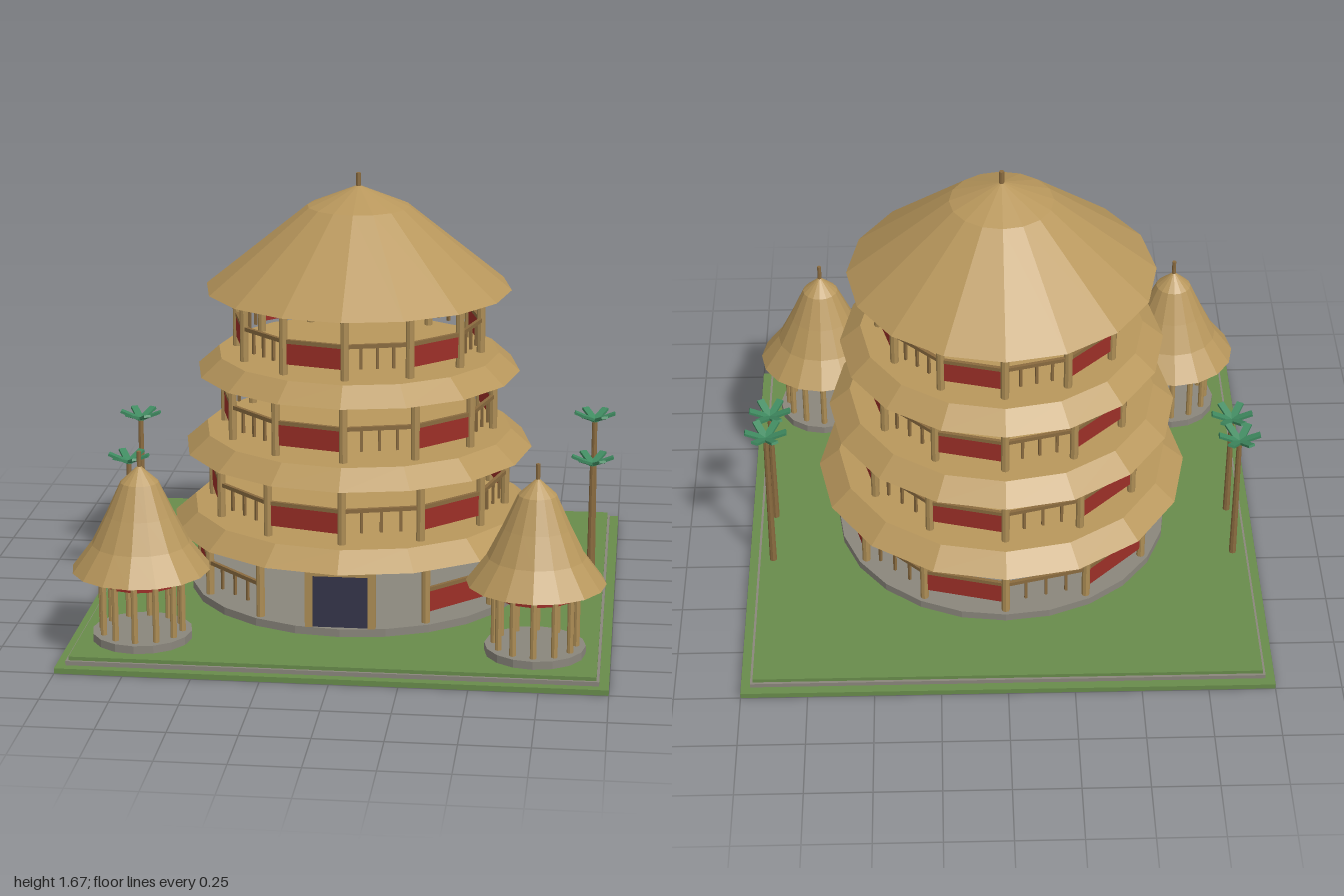
import * as THREE from 'three';

const mat = (name, color) => {
  const m = new THREE.MeshStandardMaterial({ color });
  m.name = name;
  return m;
};
const thatch = mat('thatch', 0xb8975c);
const wood = mat('bamboo wood', 0xad8d55);
const darkWood = mat('rail wood', 0x8a6b3f);
const grass = mat('grass', 0x688c4b);
const stone = mat('stone', 0x8a867c);
const red = mat('red panel', 0x9c2f27);
const doorBlue = mat('door slate', 0x35354a);
const frond = mat('palm leaf', 0x3f8a60);

// Faceted normals for the low-poly look
function faceted(geometry) {
  const g = geometry.index ? geometry.toNonIndexed() : geometry;
  g.computeVertexNormals();
  return g;
}

function add(parent, name, geometry, material, x = 0, y = 0, z = 0) {
  const m = new THREE.Mesh(geometry, material);
  m.name = name;
  m.position.set(x, y, z);
  parent.add(m);
  return m;
}

const box = (parent, name, w, h, d, material, x, y, z) =>
  add(parent, name, new THREE.BoxGeometry(w, h, d), material, x, y, z);

// Upright cylinder or frustum standing from y0 to y1
function post(parent, name, r0, r1, y0, y1, sides, material, x = 0, z = 0) {
  const g = faceted(new THREE.CylinderGeometry(r1, r0, y1 - y0, sides));
  return add(parent, name, g, material, x, (y0 + y1) / 2, z);
}

function roof(parent, name, profile, sides) {
  const pts = profile.map(([r, y]) => new THREE.Vector2(r, y));
  return add(parent, name, faceted(new THREE.LatheGeometry(pts, sides)), thatch);
}

// Empty group sitting in the middle of a bay, facing outward
function bayGroup(parent, name, i, count, radius) {
  const a = ((i + 0.5) / count) * Math.PI * 2;
  const apothem = radius * Math.cos(Math.PI / count);
  const g = new THREE.Group();
  g.name = name;
  g.position.set(Math.sin(a) * apothem, 0, Math.cos(a) * apothem);
  g.rotation.y = a;
  parent.add(g);
  return g;
}

// One open storey: columns, rails, red panels alternating with balusters
function storey(parent, name, radius, floorY, topY, hasDoor) {
  const g = new THREE.Group();
  g.name = name;
  parent.add(g);
  const count = 12;
  const chord = 2 * radius * Math.sin(Math.PI / count);
  for (let i = 0; i < count; i++) {
    const a = (i / count) * Math.PI * 2;
    if (!(hasDoor && i === 0)) {
      post(g, 'column', 0.016, 0.016, floorY, topY, 8, wood, Math.sin(a) * radius, Math.cos(a) * radius);
    }
    if (hasDoor && (i === 0 || i === count - 1)) continue;
    const bay = bayGroup(g, 'railing', i, count, radius);
    box(bay, 'rail', chord, 0.015, 0.014, darkWood, 0, floorY + 0.127, 0);
    if (i % 2) {
      box(bay, 'panel', chord - 0.01, 0.08, 0.01, red, 0, floorY + 0.08, 0);
    } else {
      for (const t of [-0.25, 0, 0.25]) {
        box(bay, 'baluster', 0.01, 0.08, 0.01, darkWood, t * chord, floorY + 0.08, 0);
      }
    }
  }
}

function tower(parent) {
  const g = new THREE.Group();
  g.name = 'tower';
  parent.add(g);
  post(g, 'towerPlinth', 0.65, 0.65, 0.05, 0.08, 24, stone);
  const floors = [
    [0.62, 0.08, 0.315], [0.57, 0.385, 0.615], [0.52, 0.685, 0.915], [0.47, 0.985, 1.24],
  ];
  floors.forEach(([r, y0, y1], i) => {
    storey(g, 'storey' + (i + 1), r, y0, y1, i === 0);
    if (i < 3) post(g, 'skirtRoof', r + 0.1, r + 0.02, y1, y1 + 0.07, 16, thatch);
  });
  roof(g, 'mainRoof', [[0, 1.23], [0.585, 1.23], [0.195, 1.545], [0, 1.625]], 16);
  post(g, 'finial', 0.01, 0.01, 1.6, 1.67, 8, darkWood);

  // Entrance
  box(g, 'door', 0.21, 0.2, 0.02, doorBlue, 0, 0.18, 0.62);
  for (const s of [-1, 1]) box(g, 'doorJamb', 0.028, 0.24, 0.035, wood, s * 0.117, 0.2, 0.62);
  box(g, 'doorLintel', 0.262, 0.035, 0.035, wood, 0, 0.2975, 0.62);
}

function hut(parent, name, x, z) {
  const g = new THREE.Group();
  g.name = name;
  g.position.set(x, 0, z);
  parent.add(g);
  post(g, 'hutPlinth', 0.185, 0.185, 0.05, 0.08, 16, stone);
  const count = 12, r = 0.15;
  for (let i = 0; i < count; i++) {
    const a = (i / count) * Math.PI * 2;
    post(g, 'hutPost', 0.012, 0.012, 0.08, 0.33, 8, wood, Math.sin(a) * r, Math.cos(a) * r);
    const bay = bayGroup(g, 'valance', i, count, r);
    box(bay, 'hutBand', 0.078, 0.045, 0.009, red, 0, 0.295, 0);
  }
  roof(g, 'hutRoof', [[0, 0.32], [0.255, 0.32], [0.18, 0.42], [0.125, 0.53], [0.07, 0.65], [0, 0.715]], 16);
  post(g, 'hutFinial', 0.008, 0.008, 0.69, 0.765, 8, darkWood);
}

function palm(parent, x, z, height) {
  const g = new THREE.Group();
  g.name = 'palm';
  g.position.set(x, 0, z);
  parent.add(g);
  post(g, 'trunk', 0.014, 0.01, 0.05, height, 8, darkWood);
  for (let i = 0; i < 6; i++) {
    const arm = new THREE.Group();
    arm.name = 'frond';
    arm.position.y = height;
    arm.rotation.set(0, (i * Math.PI) / 3, 0.38);
    box(arm, 'leaf', 0.085, 0.01, 0.028, frond, 0.0425, 0, 0);
    g.add(arm);
  }
}

export function createModel() {
  const model = new THREE.Group();
  model.name = 'thatchedTowerCompound';

  // Stepped ground
  box(model, 'groundSlab', 2, 0.02, 2, grass, 0, 0.01, 0);
  box(model, 'stoneStep', 1.93, 0.016, 1.93, stone, 0, 0.028, 0);
  box(model, 'lawn', 1.91, 0.014, 1.91, grass, 0, 0.043, 0);

  tower(model);
  hut(model, 'leftHut', 0.725, 0.72);
  hut(model, 'rightHut', -0.725, 0.72);
  for (const [x, drop] of [[0.905, 0], [-0.905, 0.05]]) {
    palm(model, x, -0.265, 0.65 - drop);
    palm(model, x, 0, 0.55 - drop);
  }
  return model;
}
